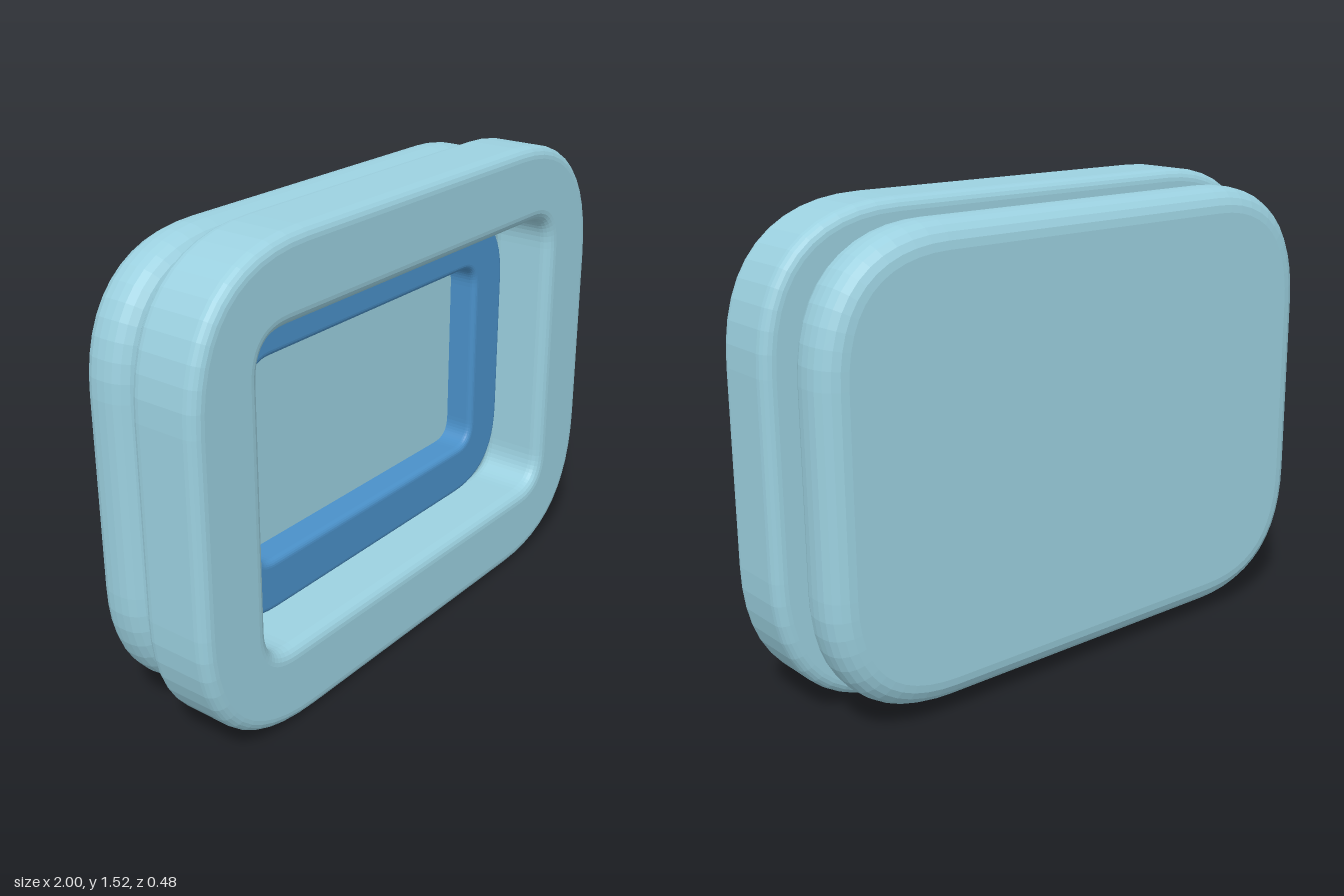
import * as THREE from 'three';

const CENTER_Y = 0.76;

// Rounded rectangle outline from half sizes w, h and corner reach r
function trace(path, w, h, r) {
  path.moveTo(-w + r, -h);
  path.lineTo(w - r, -h);
  path.quadraticCurveTo(w, -h, w, -h + r);
  path.lineTo(w, h - r);
  path.quadraticCurveTo(w, h, w - r, h);
  path.lineTo(-w + r, h);
  path.quadraticCurveTo(-w, h, -w, h - r);
  path.lineTo(-w, -h + r);
  path.quadraticCurveTo(-w, -h, -w + r, -h);
  return path;
}

// Bevelled slab between z0 and z1; outer and hole are finished [w, h, r]
function slab(name, color, { outer, hole, z0, z1, bevel }) {
  const [w, h, r] = outer;
  const shape = trace(new THREE.Shape(), w - bevel, h - bevel, r);
  if (hole) shape.holes.push(trace(new THREE.Path(), hole[0] + bevel, hole[1] + bevel, hole[2]));
  const geometry = new THREE.ExtrudeGeometry(shape, {
    depth: z1 - z0 - 2 * bevel,
    bevelEnabled: true,
    bevelThickness: bevel,
    bevelSize: bevel,
    bevelSegments: 5,
    curveSegments: 12,
  });
  const mesh = new THREE.Mesh(geometry, new THREE.MeshStandardMaterial({ color }));
  mesh.name = name;
  mesh.position.set(0, CENTER_Y, z0 + bevel);
  return mesh;
}

export function createModel() {
  const group = new THREE.Group();
  group.name = 'framedPanel';
  const pale = 0x9bd0df, blue = 0x4a90c8;

  // Thick open frame at the front
  group.add(slab('frontFrame', pale, {
    outer: [1, 0.76, 0.42], hole: [0.74, 0.5, 0.16], z0: 0, z1: 0.238, bevel: 0.04,
  }));
  // Blue ring joining frame and panel
  group.add(slab('innerRing', blue, {
    outer: [0.743, 0.503, 0.24], hole: [0.57, 0.33, 0.1], z0: -0.07, z1: 0.05, bevel: 0.02,
  }));
  // Solid panel with soft edges at the back
  group.add(slab('backPanel', pale, {
    outer: [0.96, 0.72, 0.34], z0: -0.238, z1: -0.05, bevel: 0.08,
  }));
  return group;
}
